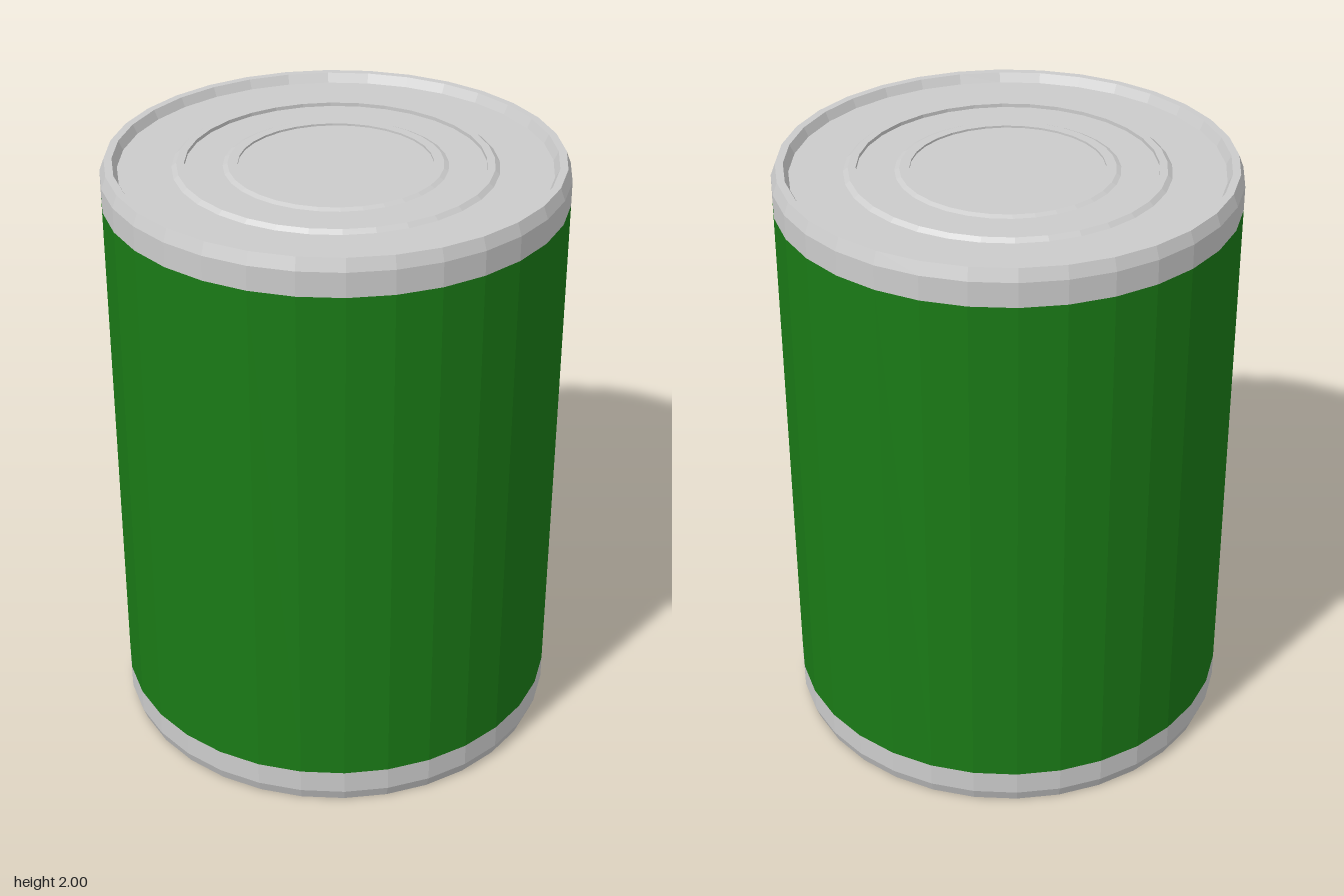
import * as THREE from 'three';

const SIDES = 32;
const RADIUS = 0.74;

function lathe(name, profile, material) {
  const points = profile.map(([r, y]) => new THREE.Vector2(r, y));
  const mesh = new THREE.Mesh(new THREE.LatheGeometry(points, SIDES), material);
  mesh.name = name;
  return mesh;
}

// One end of the can, relative to mid height; profiles run upward then inward
function makeEnd(name, metal) {
  const end = new THREE.Group();
  end.name = name;
  // outer band, chamfer, flat lip and inner wall
  end.add(lathe('rim', [
    [RADIUS, 0.88], [RADIUS, 0.96], [0.725, 1], [0.7, 1], [0.685, 0.97],
  ], metal));
  // recessed panel with two pressed ridges
  end.add(lathe('lidPanel', [
    [0.685, 0.97], [0.515, 0.97], [0.5, 0.982], [0.475, 0.982], [0.475, 0.97],
    [0.355, 0.97], [0.34, 0.977], [0.308, 0.977], [0.308, 0.97], [0, 0.97],
  ], metal));
  return end;
}

export function createModel() {
  const metal = new THREE.MeshStandardMaterial({ color: 0xcccccc, flatShading: true });
  const green = new THREE.MeshStandardMaterial({ color: 0x1a7a16, flatShading: true });

  const can = new THREE.Group();
  can.name = 'can';

  // coloured wrap around the body
  can.add(lathe('label', [[RADIUS, 0.12], [RADIUS, 1.88]], green));

  // matching ends, the lower one turned over
  const top = makeEnd('topEnd', metal);
  top.position.y = 1;
  const bottom = makeEnd('bottomEnd', metal);
  bottom.position.y = 1;
  bottom.rotation.x = Math.PI;
  can.add(top, bottom);

  return can;
}
